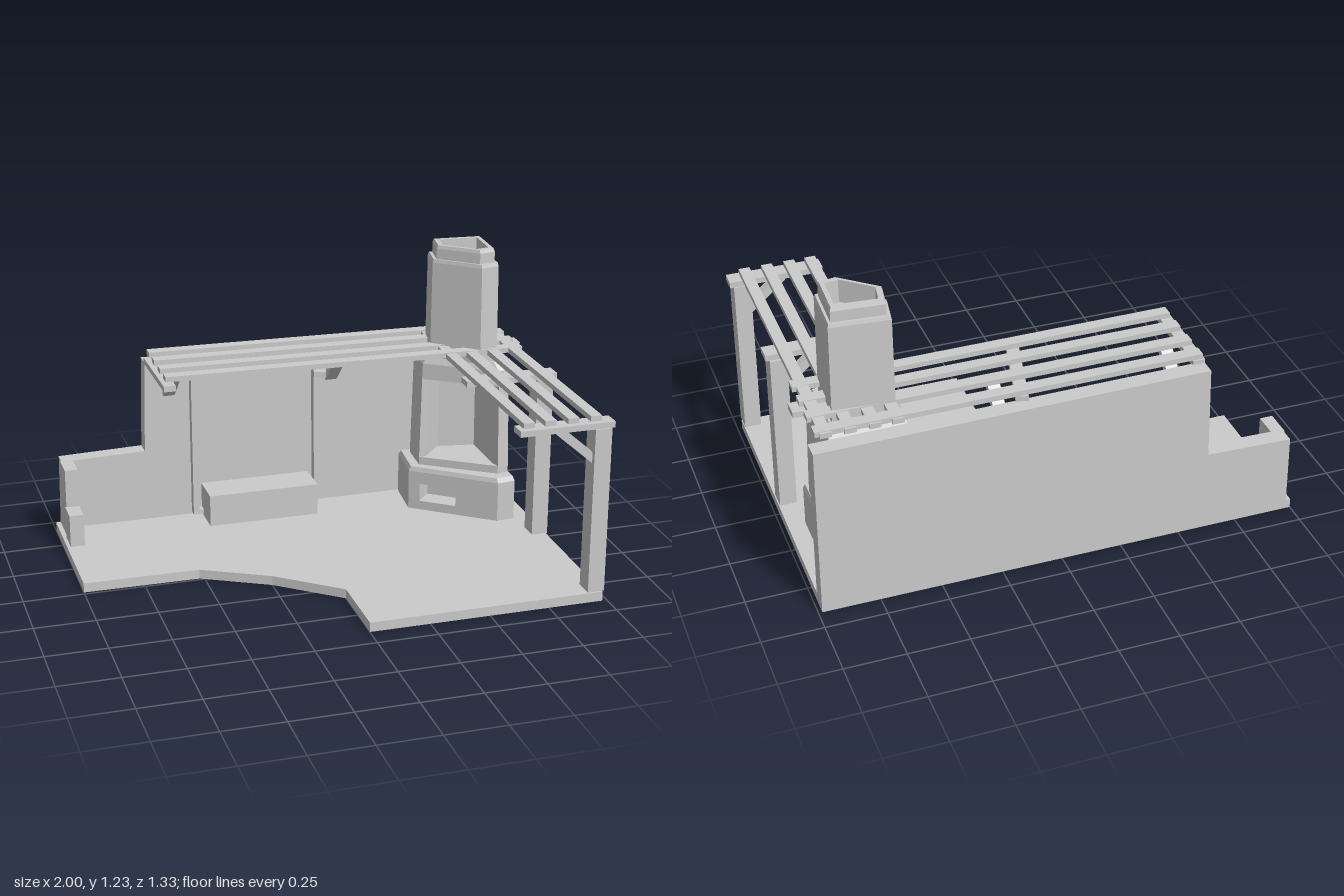
import * as THREE from 'three';

const grey = new THREE.MeshStandardMaterial({ color: 0xcccccc, flatShading: true });

function add(parent, name, geometry) {
  const mesh = new THREE.Mesh(geometry, grey);
  mesh.name = name;
  parent.add(mesh);
  return mesh;
}

// Box given by its limits on each axis
function block(parent, name, [x0, x1], [y0, y1], [z0, z1]) {
  const mesh = add(parent, name, new THREE.BoxGeometry(x1 - x0, y1 - y0, z1 - z0));
  mesh.position.set((x0 + x1) / 2, (y0 + y1) / 2, (z0 + z1) / 2);
  return mesh;
}

// Square bar between two points
function bar(parent, name, from, to, width, height) {
  const a = new THREE.Vector3(...from), b = new THREE.Vector3(...to);
  const mesh = add(parent, name, new THREE.BoxGeometry(width, height, a.distanceTo(b)));
  mesh.position.copy(a).lerp(b, 0.5);
  mesh.lookAt(b);
  return mesh;
}

// Capped loft through [y, footprint] rings; footprints run clockwise seen from above
function loft(rings) {
  const p = [];
  const put = (ring, i) => p.push(ring[1][i][0], ring[0], ring[1][i][1]);
  const cap = (ring, up) => {
    const pts = ring[1].map(([x, z]) => new THREE.Vector2(x, z));
    for (const [a, b, c] of THREE.ShapeUtils.triangulateShape(pts, [])) {
      const facesDown = pts[b].clone().sub(pts[a]).cross(pts[c].clone().sub(pts[a])) > 0;
      for (const i of facesDown === up ? [a, c, b] : [a, b, c]) put(ring, i);
    }
  };
  cap(rings[0], false);
  for (let r = 0; r < rings.length - 1; r++) {
    const lo = rings[r], hi = rings[r + 1], n = lo[1].length;
    for (let i = 0; i < n; i++) {
      const j = (i + 1) % n;
      put(lo, j); put(lo, i); put(hi, i);
      put(lo, j); put(hi, i); put(hi, j);
    }
  }
  cap(rings[rings.length - 1], true);
  const g = new THREE.BufferGeometry();
  g.setAttribute('position', new THREE.Float32BufferAttribute(p, 3));
  g.computeVertexNormals();
  return g;
}

const scaled = (pts, s, cx, cz) => pts.map(([x, z]) => [cx + (x - cx) * s, cz + (z - cz) * s]);

function extrudeXY(points, depth) {
  const shape = new THREE.Shape(points.map(([x, y]) => new THREE.Vector2(x, y)));
  return new THREE.ExtrudeGeometry(shape, { depth, bevelEnabled: false });
}

function buildFireplace() {
  const g = new THREE.Group();
  g.name = 'fireplace';

  // Hearth base with an ash opening in the slanted face
  const base = [[0.53, -0.58], [0.91, -0.58], [0.91, -0.14], [0.83, -0.13], [0.51, -0.38]];
  const notched = [...base.slice(0, 4), [0.68, -0.247], [0.72, -0.33], [0.61, -0.415], [0.55, -0.349], base[4]];
  add(g, 'hearthFoot', loft([[0.04, base], [0.08, base]]));
  add(g, 'hearthOpening', loft([[0.08, notched], [0.16, notched]]));
  add(g, 'hearthTop', loft([[0.16, base], [0.215, base], [0.235, scaled(base, 0.96, 0.74, -0.37)]]));

  // Firebox open on the slanted side
  const body = [[0.57, -0.54], [0.9, -0.54], [0.9, -0.2], [0.85, -0.19], [0.56, -0.39]];
  add(g, 'fireboxFloor', loft([[0.23, body], [0.27, body]]));
  const walls = [...body.slice(0, 4), [0.84, -0.23], [0.84, -0.46], [0.68, -0.49], [0.59, -0.39], body[4]];
  add(g, 'fireboxWalls', loft([[0.27, walls], [0.64, scaled(walls, 0.96, 0.75, -0.38)]]));
  add(g, 'mantel', loft([
    [0.63, scaled(body, 0.96, 0.75, -0.38)],
    [0.7, scaled(body, 0.95, 0.75, -0.38)],
    [0.735, scaled(body, 0.82, 0.74, -0.38)],
  ]));

  // Hollow chimney stack with a narrower cap
  const stack = [[0.62, -0.5], [0.86, -0.48], [0.85, -0.25], [0.77, -0.235], [0.6, -0.38]];
  const s = (k) => scaled(stack, k, 0.74, -0.37);
  add(g, 'chimney', loft([
    [0.73, s(1.02)], [1.15, s(0.99)], [1.165, s(0.96)], [1.165, s(0.87)], [1.21, s(0.87)],
    [1.225, s(0.83)], [1.225, s(0.68)], [1.13, s(0.66)],
  ]));
  return g;
}

function buildPergola() {
  const g = new THREE.Group();
  g.name = 'pergola';

  // Long slats along the back wall
  for (const z of [-0.58, -0.475, -0.365, -0.26])
    bar(g, 'backSlat', [-0.59, 0.795, z - 0.005], [0.96, 0.78, z + 0.005], 0.05, 0.022);

  // Slats along the side
  for (const x of [0.64, 0.73, 0.825, 0.92])
    bar(g, 'sideSlat', [x, 0.777, -0.61], [x, 0.785, 0.645], 0.046, 0.022);

  // Cross beams under the slats
  bar(g, 'backBeam', [-0.58, 0.76, -0.6], [-0.58, 0.765, -0.21], 0.05, 0.025);
  bar(g, 'backBeam', [0.15, 0.757, -0.6], [0.055, 0.762, -0.21], 0.05, 0.025);
  for (const z of [0.625, 0.035, -0.38])
    block(g, 'sideBeam', [0.6, 0.995], [0.745, 0.77], [z - 0.035, z + 0.035]);

  // Posts with diagonal braces
  for (const z of [0.625, 0.03]) {
    block(g, 'post', [0.91, 0.98], [0.05, 0.745], [z - 0.041, z + 0.041]);
    bar(g, 'postBrace', [0.77, 0.745, z], [0.93, 0.605, z], 0.04, 0.035);
  }
  for (const x of [-0.505, 0.215])
    bar(g, 'wallBrace', [x, 0.61, -0.59], [x, 0.76, -0.43], 0.05, 0.03);
  return g;
}

export function createModel() {
  const model = new THREE.Group();
  model.name = 'patio';

  // Floor slab with a cut-away corner
  const floor = [[-1, -0.66], [0.985, -0.66], [0.98, 0.655], [0, 0.655], [0, 0.34], [-0.25, 0.135], [-0.52, -0.01], [-1, -0.015]];
  add(model, 'floor', loft([[0, floor], [0.04, floor]]));

  // Stepped back wall and low end wall
  const wall = [[-0.98, 0.04], [0.985, 0.04], [0.985, 0.74], [-0.605, 0.755], [-0.615, 0.355], [-0.975, 0.345]];
  add(model, 'backWall', extrudeXY(wall, 0.072)).position.z = -0.66;
  block(model, 'endWallHigh', [-0.98, -0.925], [0.04, 0.345], [-0.6, -0.485]);
  block(model, 'endWallLow', [-0.985, -0.925], [0.04, 0.18], [-0.49, -0.385]);

  // Frame on the wall
  const frame = new THREE.Shape([[-0.415, 0.05], [0.15, 0.05], [0.15, 0.7], [-0.415, 0.7]].map((p) => new THREE.Vector2(...p)));
  frame.holes.push(new THREE.Path([[-0.39, 0.07], [-0.39, 0.675], [0.128, 0.675], [0.128, 0.07]].map((p) => new THREE.Vector2(...p))));
  add(model, 'wallFrame', new THREE.ExtrudeGeometry(frame, { depth: 0.04, bevelEnabled: false })).position.z = -0.59;

  block(model, 'bench', [-0.37, 0.11], [0.04, 0.178], [-0.59, -0.43]);

  model.add(buildFireplace(), buildPergola());
  return model;
}
